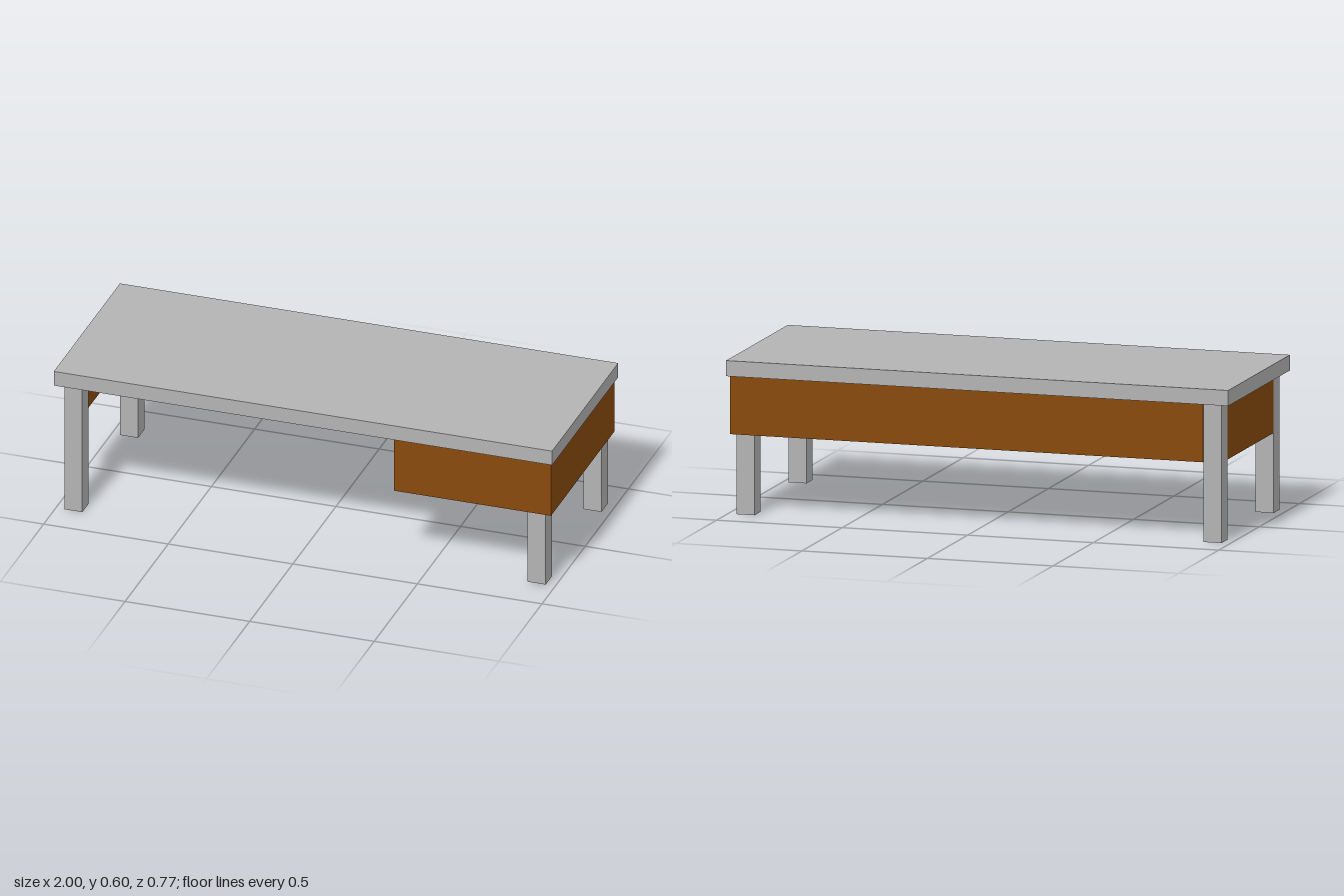
import * as THREE from 'three';

export function createModel() {
  const model = new THREE.Group();
  const grey = new THREE.MeshStandardMaterial({ color: 0xb3b3b3 });
  grey.name = 'grey';
  const wood = new THREE.MeshStandardMaterial({ color: 0x884a0d });
  wood.name = 'brown wood';

  // Box given by its lower and upper corners
  function box(name, material, [x0, y0, z0], [x1, y1, z1]) {
    const geometry = new THREE.BoxGeometry(x1 - x0, y1 - y0, z1 - z0);
    const mesh = new THREE.Mesh(geometry, material);
    mesh.position.set((x0 + x1) / 2, (y0 + y1) / 2, (z0 + z1) / 2);
    mesh.name = name;
    model.add(mesh);
  }

  const topY = 0.535, woodTop = 0.532, woodBottom = 0.309;

  // Tabletop slab
  box('tabletop', grey, [-1, topY, -0.383], [1, 0.595, 0.383]);

  // Four square legs; the front one under the drawer unit is slightly shorter
  for (const side of ['left', 'right']) {
    for (const end of ['Front', 'Back']) {
      const x = side === 'left' ? 0.894 : -0.966;
      const z = end === 'Front' ? 0.286 : -0.36;
      const foot = side === 'left' && end === 'Front' ? 0.007 : 0;
      box(side + end + 'Leg', grey, [x, foot, z], [x + 0.072, topY, z + 0.073]);
    }
  }

  // Drawer unit filling the left end
  box('drawerUnit', wood, [0.36, woodBottom, -0.367], [0.99, woodTop, 0.367]);

  // Thin panels enclosing the knee space: back, right end and underside of the top
  box('backPanel', wood, [-0.895, woodBottom, -0.367], [0.36, woodTop, -0.357]);
  box('endPanel', wood, [-0.966, woodBottom, -0.287], [-0.958, woodTop, 0.286]);
  box('undersidePanel', wood, [-0.958, 0.528, -0.357], [0.36, woodTop, 0.362]);

  return model;
}
